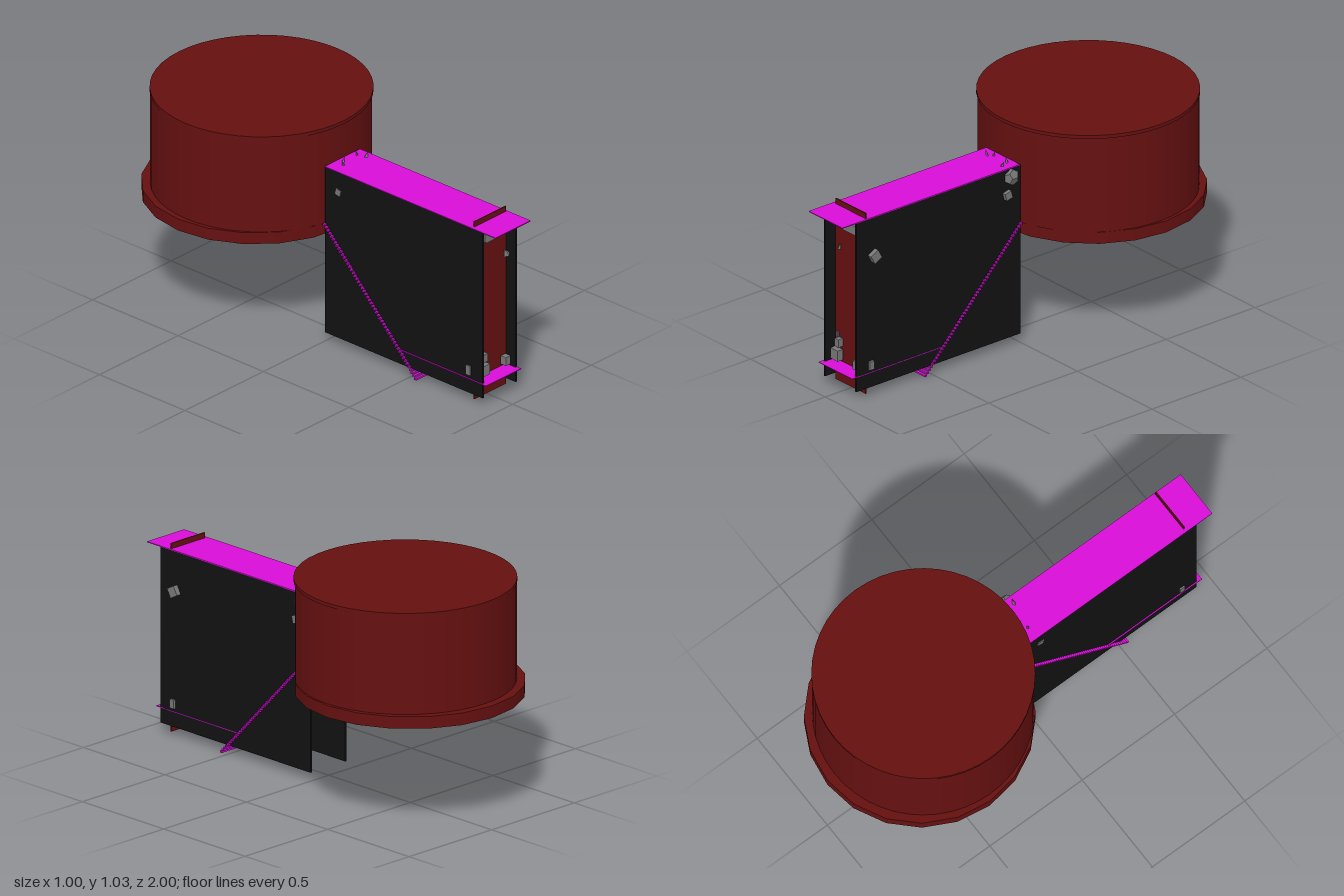
import * as THREE from 'three';

const material = (color, flatShading = false) =>
  new THREE.MeshStandardMaterial({ color, flatShading });
const darkRed = material(0x661010);
const magenta = material(0xd80fd8);
const black = material(0x111111);
const grey = material(0x777777, true);

export function createModel() {
  const model = new THREE.Group();

  function add(name, geometry, mat, x, y, z, parent = model) {
    const mesh = new THREE.Mesh(geometry, mat);
    mesh.name = name;
    mesh.position.set(x, y, z);
    parent.add(mesh);
    return mesh;
  }
  // Box given by its limits on each axis
  function span(name, mat, [x0, x1], [y0, y1], [z0, z1], parent) {
    return add(name, new THREE.BoxGeometry(x1 - x0, y1 - y0, z1 - z0), mat,
      (x0 + x1) / 2, (y0 + y1) / 2, (z0 + z1) / 2, parent);
  }

  // Round room: faceted base ring, tall drum and a thin lid
  add('drumBase', new THREE.CylinderGeometry(0.5, 0.5, 0.055, 20), darkRed, 0, 0.5375, -0.5);
  add('drumBody', new THREE.CylinderGeometry(0.479, 0.479, 0.45, 48), darkRed, 0.005, 0.79, -0.478);
  add('drumLid', new THREE.CylinderGeometry(0.483, 0.483, 0.016, 48), darkRed, 0.006, 1.02, -0.476);

  // Corridor: two side walls, roof, floor and end door
  for (const [name, x] of [['rightWall', -0.1], ['leftWall', 0.11]]) {
    span(name, black, [x - 0.004, x + 0.004], [0.04, 0.845], [-0.003, 0.92]);
  }
  span('roof', magenta, [-0.11, 0.115], [0.843, 0.847], [0, 1]);
  span('floor', magenta, [-0.11, 0.115], [0.108, 0.111], [0.44, 0.945]);
  span('door', darkRed, [-0.094, 0.108], [0.012, 0.872], [0.857, 0.863]);

  // Stairs climbing from the ground to the drum
  const stairs = new THREE.Group();
  stairs.name = 'stairs';
  model.add(stairs);
  const steps = 52;
  for (let i = 0; i < steps; i++) {
    const t = i / (steps - 1);
    const y = 0.004 + 0.562 * t;
    const z = 0.537 * (1 - t);
    span('step', magenta, [-0.117, 0.125], [y - 0.004, y + 0.004], [z - 0.006, z + 0.006], stairs);
  }

  // Door handle: a short bar with a bevelled underside
  const bar = new THREE.Shape([[-0.06, 0.805], [-0.06, 0.775], [-0.052, 0.762],
    [0.077, 0.762], [0.085, 0.775], [0.085, 0.805]].map(p => new THREE.Vector2(...p)));
  add('doorHandle', new THREE.ExtrudeGeometry(bar, { depth: 0.03, bevelEnabled: false }), grey, 0, 0, 0.863);

  // Small blocks by the door: centre, size, tilt about x
  const blocks = [
    [-0.06, 0.15, 0.885, 0.05, 0.05, 0.03, 0],
    [-0.1, 0.15, 0.84, 0.022, 0.045, 0.025, 0],
    [0.08, 0.146, 0.885, 0.03, 0.04, 0.03, 0],
    [0.115, 0.146, 0.84, 0.02, 0.04, 0.025, 0],
    [-0.053, 0.206, 0.88, 0.026, 0.037, 0.025, 0],
    [-0.06, 0.243, 0.88, 0.008, 0.028, 0.01, 0],
    [0.122, 0.664, 0.825, 0.03, 0.045, 0.045, 0.5],
    [0.12, 0.725, 0.075, 0.024, 0.035, 0.035, 0.25],
    [-0.102, 0.745, 0.075, 0.014, 0.03, 0.03, 0.25],
  ];
  for (const [x, y, z, w, h, d, tilt] of blocks) {
    add('block', new THREE.BoxGeometry(w, h, d), grey, x, y, z).rotation.x = tilt;
  }

  // Rock lump on the left wall near the drum
  add('rock', new THREE.DodecahedronGeometry(0.04), grey, 0.118, 0.805, 0.05).scale.set(0.7, 1, 1);

  // Spikes on the roof and on the door: position, radius, height, lean
  const spikes = [
    [-0.05, 0.858, 0.05, 0.008, 0.035, 0.4],
    [-0.02, 0.858, 0.03, 0.008, 0.035, -0.4],
    [0.06, 0.858, 0.03, 0.008, 0.035, 0.3],
    [0.085, 0.858, 0.07, 0.01, 0.035, -0.5],
    [-0.05, 0.665, 0.875, 0.01, 0.03, -0.3],
    [0.085, 0.665, 0.88, 0.018, 0.035, 0.4],
  ];
  for (const [x, y, z, r, h, lean] of spikes) {
    add('spike', new THREE.ConeGeometry(r, h, 4), grey, x, y, z).rotation.z = lean;
  }

  return model;
}
